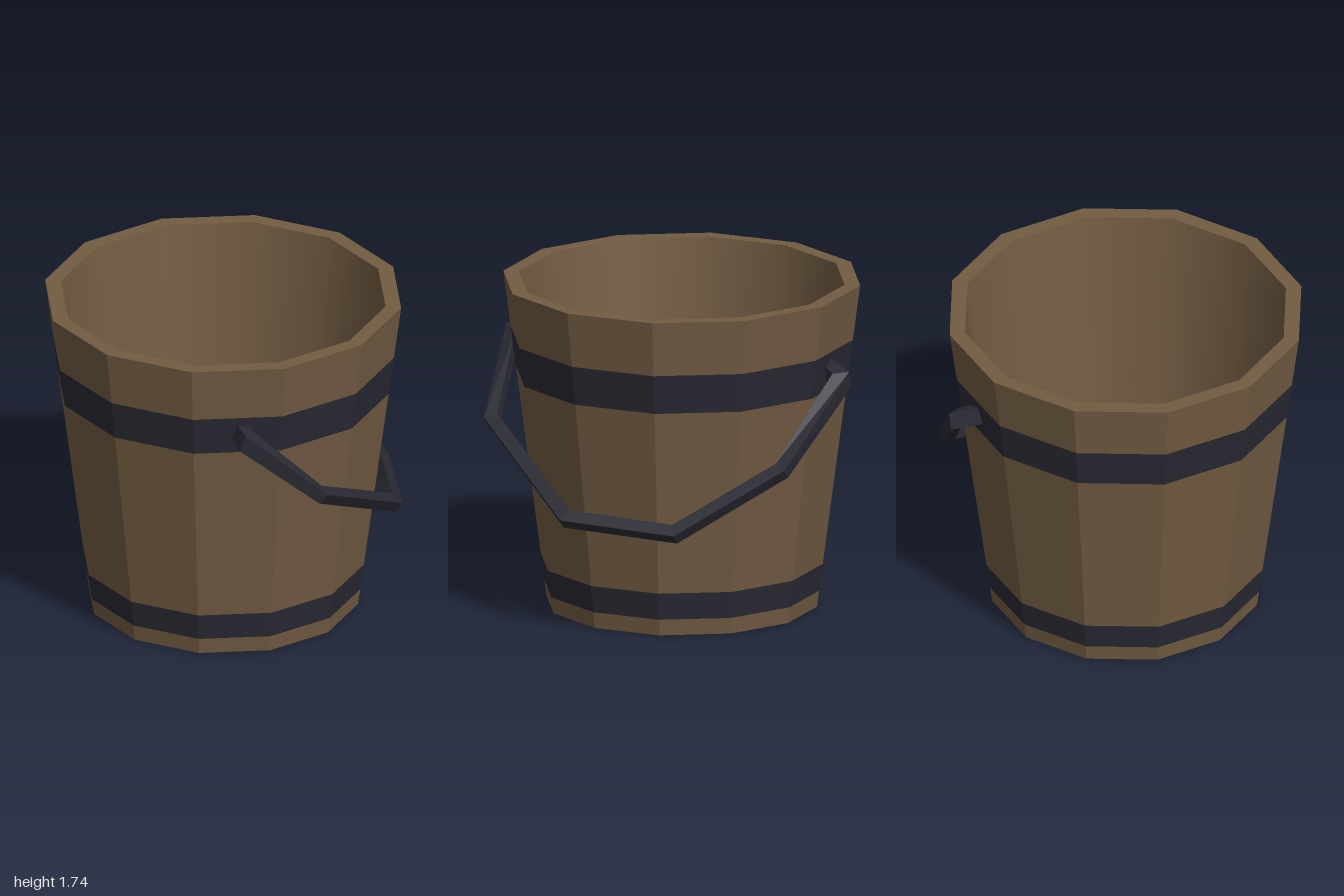
import * as THREE from 'three';

const wood = new THREE.MeshStandardMaterial({ color: 0x725c42 });
wood.name = 'brown wood';
const iron = new THREE.MeshStandardMaterial({ color: 0x292933 });
iron.name = 'dark iron';

const SIDES = 12;
const HEIGHT = 1.74;
const CORNER = 1 / Math.cos(Math.PI / SIDES); // flat-to-centre distance -> corner radius
const outerAt = (y) => 0.69 + (0.22 * y) / HEIGHT;

function faceted(geometry) {
  const g = geometry.toNonIndexed();
  g.computeVertexNormals();
  return g;
}

// Twelve-sided surface of revolution with a flat side facing the front.
// Points are [flat-to-centre distance, height]; rising profiles face outward.
function ring(name, points, material, smooth = false) {
  const profile = points.map(([r, y]) => new THREE.Vector2(r * CORNER, y));
  let g = new THREE.LatheGeometry(profile, SIDES);
  g.rotateY(Math.PI / SIDES);
  if (!smooth) g = faceted(g);
  const mesh = new THREE.Mesh(g, material);
  mesh.name = name;
  return mesh;
}

function disc(name, radius, y, up) {
  const g = new THREE.CircleGeometry(radius * CORNER, SIDES, Math.PI / SIDES);
  g.rotateX(up ? -Math.PI / 2 : Math.PI / 2);
  g.translate(0, y, 0);
  const mesh = new THREE.Mesh(g, wood);
  mesh.name = name;
  return mesh;
}

// Flat-sided bar swept along joints { at, up, width } with mitred corners;
// 'up' is the direction of the bar's width at that joint.
function mitredBar(joints, depth) {
  const path = joints.map((j) => new THREE.Vector3(...j.at));
  const last = path.length - 1;
  const positions = [];
  const index = [];
  path.forEach((p, i) => {
    const { up, width } = joints[i];
    const before = path[i].clone().sub(path[Math.max(i - 1, 0)]).normalize();
    const after = path[Math.min(i + 1, last)].clone().sub(path[i]).normalize();
    const tangent = before.clone().add(after).normalize();
    const side = new THREE.Vector3().crossVectors(tangent, up).normalize();
    const cosHalf = i === 0 || i === last ? 1 : tangent.dot(after);
    for (const [a, b] of [[-1, -1], [1, -1], [1, 1], [-1, 1]]) {
      const corner = p.clone()
        .addScaledVector(up, (a * width) / 2)
        .addScaledVector(side, (b * depth) / 2 / cosHalf);
      positions.push(corner.x, corner.y, corner.z);
    }
    if (i === last) return;
    for (let k = 0; k < 4; k++) {
      const a = i * 4 + k;
      const b = i * 4 + ((k + 1) % 4);
      index.push(a, b, b + 4, a, b + 4, a + 4);
    }
  });
  const e = last * 4;
  index.push(0, 2, 1, 0, 3, 2, e, e + 1, e + 2, e, e + 2, e + 3); // end caps
  const g = new THREE.BufferGeometry();
  g.setAttribute('position', new THREE.Float32BufferAttribute(positions, 3));
  g.setIndex(index);
  return faceted(g);
}

export function createModel() {
  const model = new THREE.Group();
  model.name = 'bucket';

  const tub = new THREE.Group();
  tub.name = 'tub';
  tub.position.set(-0.008, 0, 0.008);
  model.add(tub);

  // Staves and flush hoops, from the bottom up
  const sections = [
    ['lowerStaves', 0, 0.087, wood],
    ['lowerHoop', 0.087, 0.232, iron],
    ['middleStaves', 0.232, 1.235, wood],
    ['upperHoop', 1.235, 1.445, iron],
    ['upperStaves', 1.445, HEIGHT, wood],
  ];
  for (const [name, y0, y1, material] of sections) {
    tub.add(ring(name, [[outerAt(y0), y0], [outerAt(y1), y1]], material));
  }

  // Rim, inner wall, floor and underside
  const floorY = 0.1;
  tub.add(ring('rim', [[outerAt(HEIGHT), HEIGHT], [0.83, HEIGHT]], wood));
  tub.add(ring('innerWall', [[0.83, HEIGHT], [0.635, floorY]], wood, true));
  tub.add(disc('floor', 0.635, floorY, true));
  tub.add(disc('underside', outerAt(0), 0, false));

  // Carrying handle, hanging down on the left side; its pegs stand more upright than the bow
  const bowUp = new THREE.Vector3(0.67, 0.74, 0).normalize();
  const pegUp = new THREE.Vector3(0.3, 0.95, 0).normalize();
  const bow = (...at) => ({ at, up: bowUp, width: 0.065 });
  const peg = (...at) => ({ at, up: pegUp, width: 0.092 });
  const joints = [
    peg(0.0, 1.355, 0.83),
    peg(0.035, 1.345, 0.96),
    bow(0.425, 0.99, 0.895),
    bow(0.86, 0.622, 0.275),
    bow(0.84, 0.6, -0.335),
    bow(0.48, 0.905, -0.785),
    peg(0.085, 1.315, -0.95),
    peg(0.01, 1.355, -0.82),
  ];
  const handle = new THREE.Mesh(mitredBar(joints, 0.07), iron);
  handle.name = 'handle';
  model.add(handle);

  return model;
}
